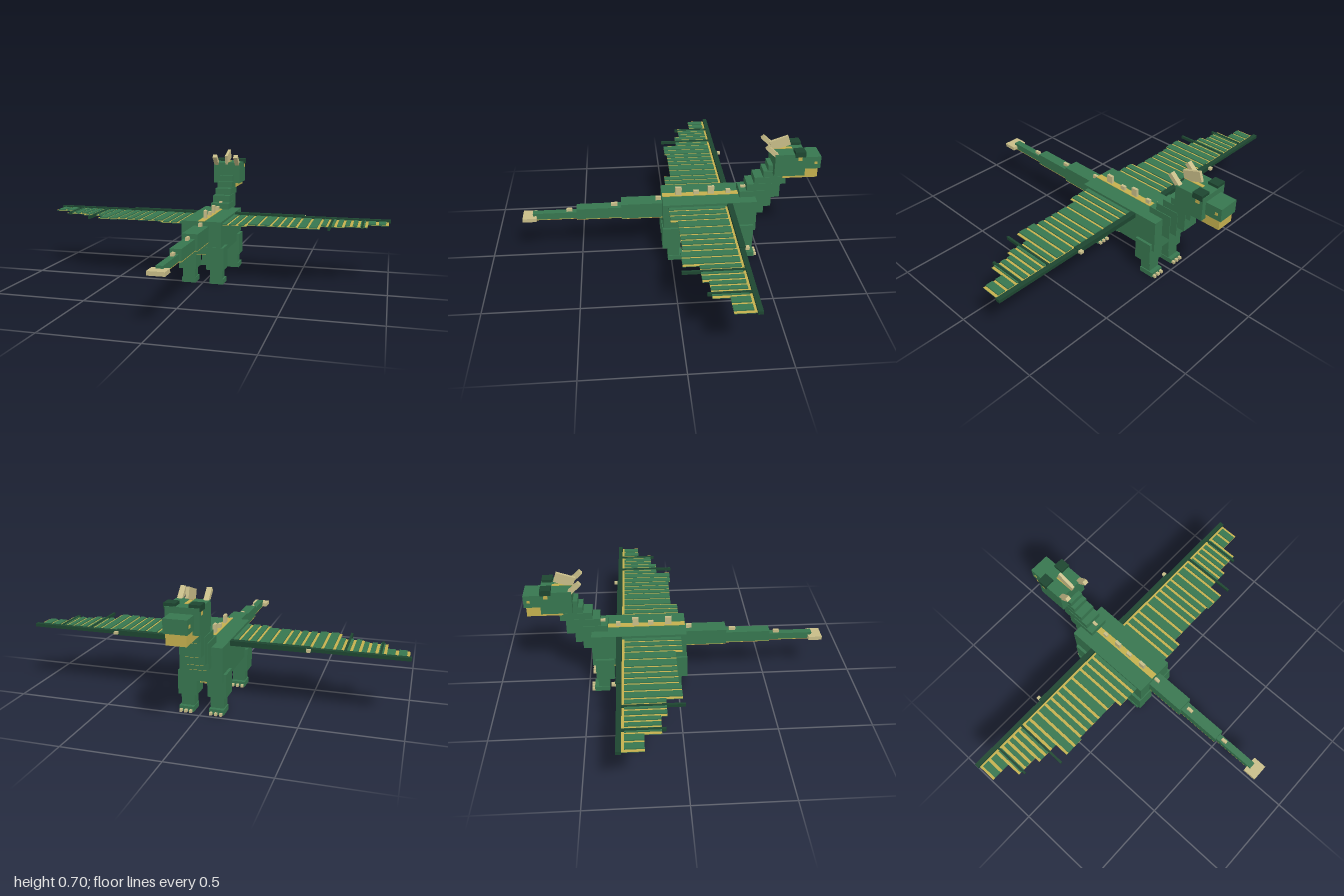
import * as THREE from 'three';

const mat = (name, color) => {
  const m = new THREE.MeshStandardMaterial({ color });
  m.name = name;
  return m;
};

export function createModel() {
  const green = mat('scale green', 0x37764f);
  const dark = mat('dark green', 0x1d4630);
  const yellow = mat('belly yellow', 0xc4b04e);
  const bone = mat('bone', 0xc8bd88);

  const root = new THREE.Group();
  root.name = 'blockDragon';

  // Box given by its extents on each axis
  const box = (name, m, [x0, x1], [y0, y1], [z0, z1], parent = root) => {
    const mesh = new THREE.Mesh(new THREE.BoxGeometry(x1 - x0, y1 - y0, z1 - z0), m);
    mesh.position.set((x0 + x1) / 2, (y0 + y1) / 2, (z0 + z1) / 2);
    mesh.name = name;
    parent.add(mesh);
    return mesh;
  };
  // Symmetric box of half width w
  const mid = (name, m, w, y, z, parent) => box(name, m, [-w, w], y, z, parent);
  // Mirrored pair on both sides
  const pair = (name, m, [a, b], y, z) => [1, -1].map((s) =>
    box((s > 0 ? 'left' : 'right') + name, m, s > 0 ? [a, b] : [-b, -a], y, z));

  // Torso
  mid('torso', green, 0.112, [0.172, 0.355], [-0.467, 0.045]);
  mid('bellyPlate', yellow, 0.085, [0.168, 0.173], [-0.44, 0.04]);
  mid('chestPlate', yellow, 0.075, [0.138, 0.172], [-0.4, -0.235]);
  mid('spineStripe', yellow, 0.018, [0.354, 0.358], [-0.42, 0.043]);

  // Tail, tapering in steps with a yellow underside
  const tail = [
    [0.043, 0.33, 0.045, 0.27],
    [0.03, 0.305, 0.27, 0.515],
    [0.018, 0.28, 0.515, 0.755],
  ];
  tail.forEach(([w, top, z0, z1], i) => {
    mid('tailSegment' + i, green, w, [0.243, top], [z0, z1]);
    mid('tailUnderside' + i, yellow, w, [0.239, 0.243], [z0, z1]);
  });
  mid('tailFin', bone, 0.045, [0.245, 0.266], [0.735, 0.81]);

  // Spikes along back and tail: [z0, z1, base, top]
  [
    [-0.42, -0.39, 0.35, 0.4], [-0.335, -0.31, 0.35, 0.38], [-0.245, -0.21, 0.35, 0.402],
    [-0.16, -0.13, 0.35, 0.38], [-0.065, -0.03, 0.35, 0.402],
    [0.05, 0.08, 0.32, 0.35], [0.29, 0.325, 0.3, 0.322], [0.54, 0.572, 0.275, 0.296],
  ].forEach(([z0, z1, y0, y1], i) => mid('spike' + i, bone, 0.008, [y0, y1], [z0, z1]));

  // Neck climbing forward in steps: [half width, bottom, top, front, back]
  [
    [0.055, 0.25, 0.39, -0.515, -0.378],
    [0.051, 0.29, 0.432, -0.555, -0.418],
    [0.048, 0.345, 0.47, -0.6, -0.457],
    [0.046, 0.425, 0.505, -0.63, -0.505],
    [0.043, 0.465, 0.54, -0.668, -0.53],
  ].forEach(([w, y0, y1, z0, z1], i) => {
    mid('neckSegment' + i, green, w, [y0, y1], [z0, z1]);
    mid('neckUnderside' + i, yellow, w * 0.8, [y0 - 0.003, y0 + 0.002], [z0 + 0.003, z1 - 0.02]);
  });

  // Head
  mid('head', green, 0.083, [0.493, 0.62], [-0.72, -0.555]);
  mid('snout', green, 0.058, [0.52, 0.59], [-0.811, -0.72]);
  mid('jaw', yellow, 0.05, [0.463, 0.52], [-0.8, -0.61]);
  pair('Brow', dark, [0.032, 0.089], [0.605, 0.635], [-0.717, -0.66]);
  pair('Eye', yellow, [0.081, 0.086], [0.583, 0.604], [-0.7, -0.678]);
  pair('Nostril', yellow, [0.056, 0.06], [0.547, 0.562], [-0.792, -0.776]);
  const crest = mid('crest', bone, 0.008, [0.625, 0.68], [-0.645, -0.54]);
  crest.rotation.x = 0.33;
  mid('crestStripe', yellow, 0.009, [0.62, 0.623], [-0.66, -0.55]);
  pair('Horn', bone, [0.052, 0.078], [0.625, 0.648], [-0.575, -0.5])
    .forEach((h) => { h.rotation.x = -0.75; });

  // Legs: z is the rear face of the shin
  const leg = (name, side, z) => {
    const g = new THREE.Group();
    g.name = name;
    const sx = (a, b) => (side > 0 ? [a, b] : [-b, -a]);
    box('thigh', green, sx(0.028, 0.127), [0.087, 0.213], [z - 0.07, z + 0.03], g);
    box('shin', green, sx(0.043, 0.112), [0.002, 0.09], [z - 0.062, z], g);
    box('foot', green, sx(0.04, 0.118), [0, 0.028], [z - 0.084, z - 0.001], g);
    for (let i = 0; i < 3; i++) {
      const x = 0.046 + i * 0.026;
      box('claw' + i, bone, sx(x, x + 0.014), [0, 0.014], [z - 0.101, z - 0.08], g);
    }
    root.add(g);
  };
  [1, -1].forEach((s) => {
    const n = s > 0 ? 'left' : 'right';
    leg(n + 'HindLeg', s, 0.02);
    leg(n + 'FrontLeg', s, -0.382);
  });

  // Wings: membrane panels as [inner x, outer x, trailing z, number of green strips]
  const panels = [
    [0.1, 0.245, 0.015, 3], [0.245, 0.38, -0.022, 2], [0.38, 0.52, -0.022, 3],
    [0.52, 0.635, -0.01, 2], [0.635, 0.76, -0.09, 3], [0.76, 0.88, -0.12, 3],
    [0.88, 0.99, -0.2, 2],
  ];
  [1, -1].forEach((s) => {
    const g = new THREE.Group();
    g.name = (s > 0 ? 'left' : 'right') + 'Wing';
    const sx = (a, b) => (s > 0 ? [a, b] : [-b, -a]);
    box('upperArm', dark, sx(0.1, 0.52), [0.326, 0.352], [-0.333, -0.303], g);
    box('foreArm', dark, sx(0.52, 1), [0.33, 0.347], [-0.328, -0.303], g);
    box('wristClaw', bone, sx(0.502, 0.522), [0.334, 0.348], [-0.352, -0.33], g);
    panels.forEach(([x0, x1, z, n], i) => {
      box('membrane' + i, green, sx(x0, x1), [0.331, 0.334], [-0.305, z], g);
      box('membraneLining' + i, yellow, sx(x0, x1), [0.334, 0.336], [-0.305, z], g);
      const step = (x1 - x0) / n;
      for (let k = 0; k < n; k++) {
        const a = x0 + k * step;
        box('membraneStrip', green, sx(a + 0.002, a + step - 0.014), [0.336, 0.342], [-0.29, z], g);
      }
    });
    [[0.685, 0], [0.853, -0.1]].forEach(([x, z], i) =>
      box('finger' + i, dark, sx(x - 0.006, x + 0.006), [0.329, 0.345], [-0.31, z], g));
    root.add(g);
  });

  return root;
}
